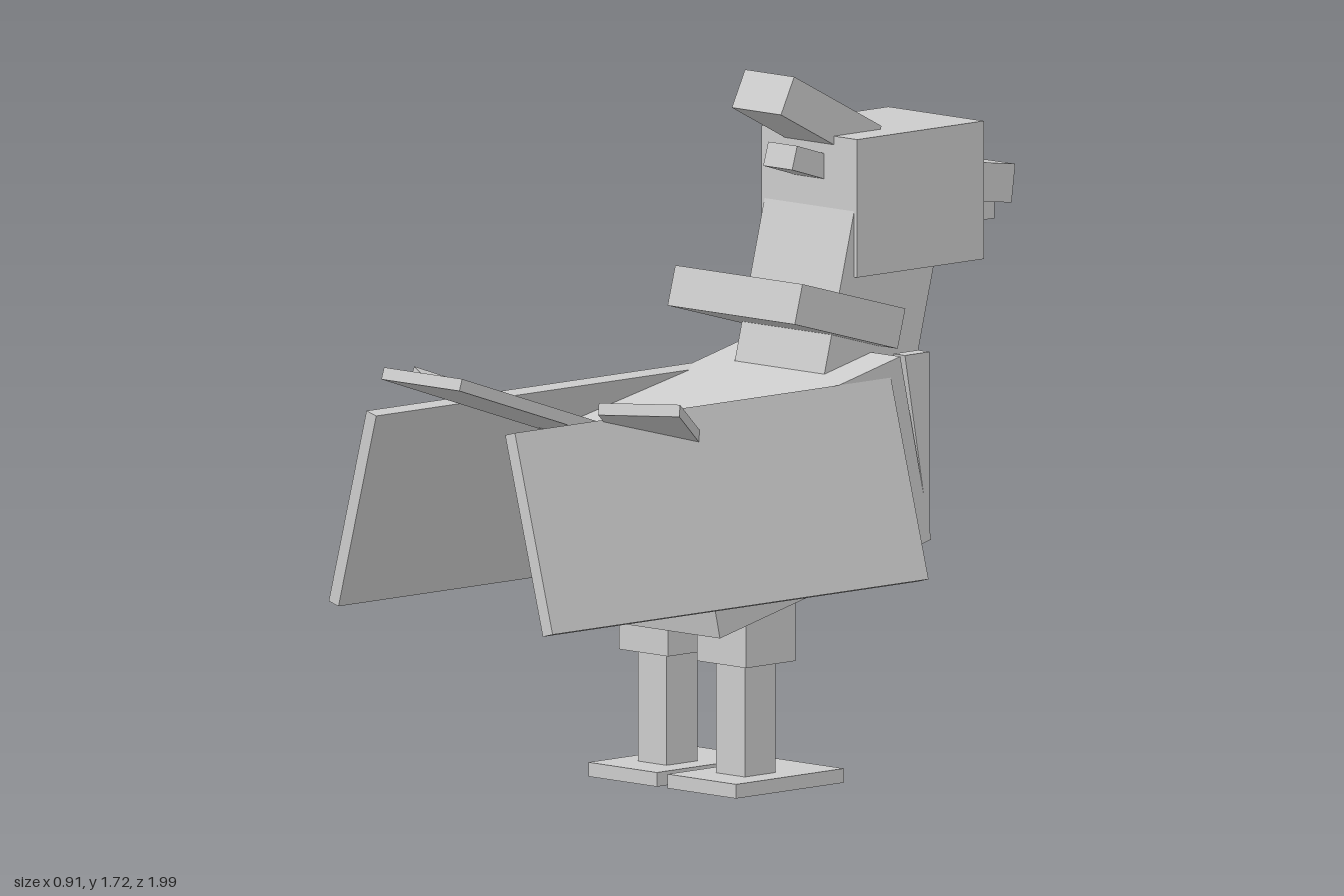
import * as THREE from 'three';

export function createModel() {
  const model = new THREE.Group();
  const mat = new THREE.MeshStandardMaterial({ color: 0xcccccc, flatShading: true });
  const cx = -0.015; // the body's plane of symmetry

  function add(name, geometry, x, y, z) {
    const mesh = new THREE.Mesh(geometry, mat);
    mesh.name = name;
    mesh.position.set(x, y, z);
    model.add(mesh);
    return mesh;
  }

  // Upright box from its x centre, width and its z and y ranges
  function block(name, x, w, z0, z1, y0, y1) {
    return add(name, new THREE.BoxGeometry(w, y1 - y0, z1 - z0), x, (y0 + y1) / 2, (z0 + z1) / 2);
  }

  // Tilted box along an axis in the side plane, between two [z, y] points
  function bar(name, w, thickness, [z0, y0], [z1, y1]) {
    const length = Math.hypot(z1 - z0, y1 - y0);
    const mesh = add(name, new THREE.BoxGeometry(w, thickness, length), cx, (y0 + y1) / 2, (z0 + z1) / 2);
    mesh.rotation.x = -Math.atan2(y1 - y0, z1 - z0);
    return mesh;
  }

  // Body, neck and collar
  bar('body', 0.51, 0.474, [-0.447, 0.798], [0.278, 0.631]);
  bar('neck', 0.31, 0.305, [-0.495, 1.391], [-0.353, 0.849]);
  bar('collar', 0.44, 0.1, [-0.433, 1.09], [-0.08, 1.187]);

  // Head
  block('head', cx, 0.33, -0.77, -0.335, 1.22, 1.56);
  bar('crest', 0.17, 0.1, [-0.476, 1.523], [-0.176, 1.676]);
  bar('headTuft', 0.1, 0.06, [-0.36, 1.475], [-0.235, 1.513]);
  bar('upperBeak', 0.095, 0.095, [-0.988, 1.371], [-0.74, 1.405]);
  block('lowerBeak', cx, 0.08, -0.93, -0.74, 1.29, 1.36);

  // Middle tail feather
  bar('tailFeather', 0.27, 0.03, [0.26, 0.85], [0.995, 1.093]);

  // Wedge at the front of each shoulder, drawn in (-z, y)
  const wedge = new THREE.Shape([
    new THREE.Vector2(0.41, 1.03),
    new THREE.Vector2(0.495, 0.567),
    new THREE.Vector2(0.495, 1.03),
  ]);
  const wedgeGeometry = new THREE.ExtrudeGeometry(wedge, { depth: 0.04, bevelEnabled: false });
  wedgeGeometry.translate(0, 0, -0.02).rotateY(Math.PI / 2);

  for (const s of [1, -1]) {
    const side = s > 0 ? 'left' : 'right';

    // Leg
    block(side + 'Foot', cx + s * 0.137, 0.237, -0.2, 0.17, 0, 0.035);
    block(side + 'Shin', cx + s * 0.135, 0.1, -0.035, 0.07, 0.035, 0.32);
    block(side + 'Thigh', cx + s * 0.135, 0.17, -0.07, 0.1, 0.31, 0.52);

    // Wing, spreading outward at the bottom
    const wing = block(side + 'Wing', cx + s * 0.305, 0.035, -0.36, 0.93, 0.485, 0.985);
    wing.rotation.z = s * 0.264;

    add(side + 'Shoulder', wedgeGeometry, cx + s * 0.235, 0, 0);

    // Splayed side tail feather
    const feather = add(side + 'TailFeather', new THREE.BoxGeometry(0.2, 0.03, 0.475),
      -0.003 + s * 0.24, 0.943, s > 0 ? 0.452 : 0.468);
    feather.rotation.set(-0.33, s * 0.64, 0, 'YXZ');
  }

  return model;
}
